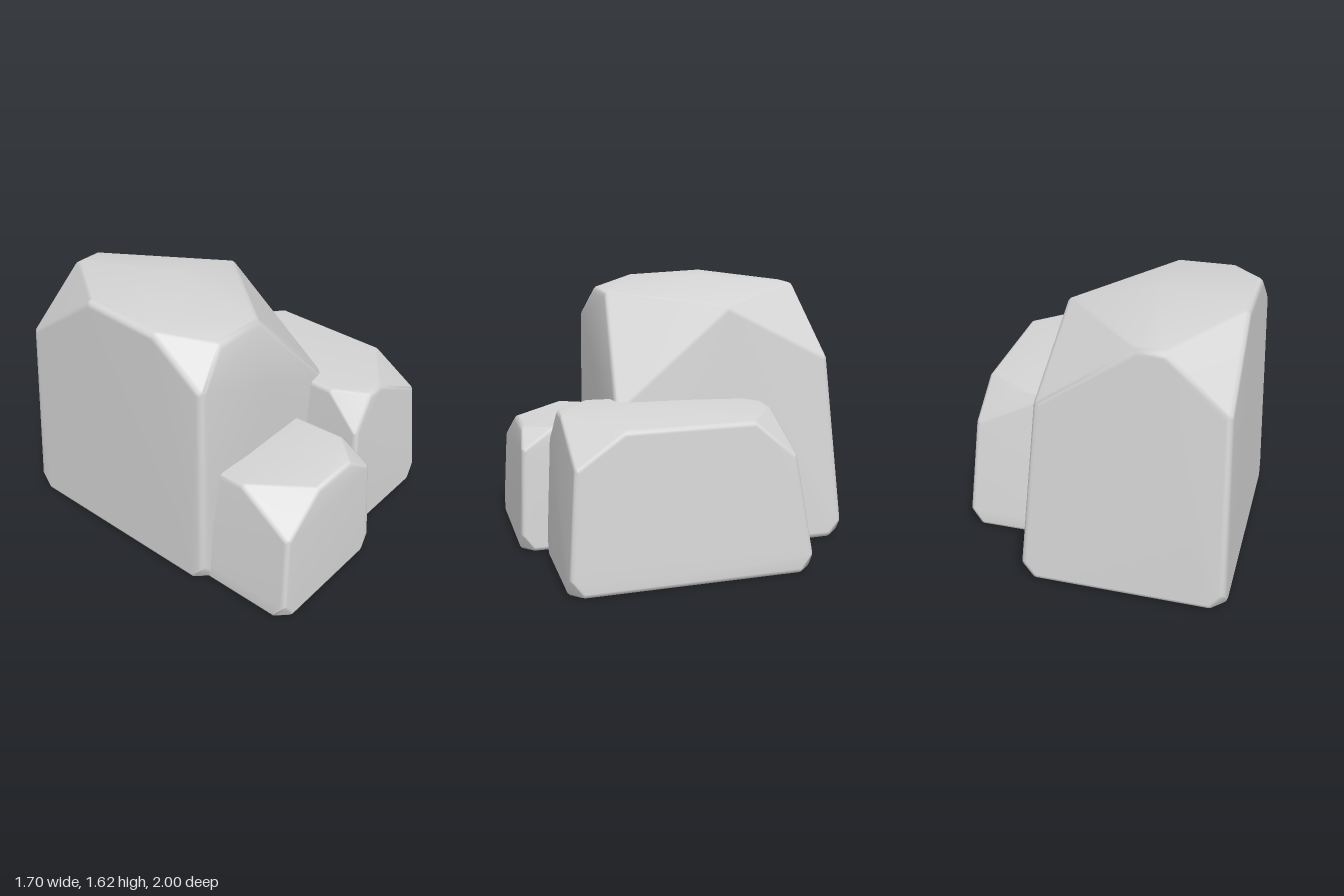
import * as THREE from 'three';
import { mergeVertices } from 'three/addons/utils/BufferGeometryUtils.js';
import { ConvexGeometry } from 'three/addons/geometries/ConvexGeometry.js';

const stone = new THREE.MeshStandardMaterial({ color: 0xd6d6d6, side: THREE.DoubleSide });
stone.name = 'grey stone';

// Drop normals and uvs so that equal positions can be welded
function weld(geometry) {
  geometry.deleteAttribute('normal');
  geometry.deleteAttribute('uv');
  return mergeVertices(geometry, 1e-5);
}

// Directions used to round every corner
function ballDirections() {
  const pos = weld(new THREE.IcosahedronGeometry(1, 1)).attributes.position;
  return Array.from({ length: pos.count }, (_, i) => new THREE.Vector3().fromBufferAttribute(pos, i));
}

// A faceted boulder with rounded edges and an open underside
function makeRock(name, [x0, x1, z0, z1], corners, r) {
  const centre = new THREE.Vector3((x0 + x1) / 2, 0.4, (z0 + z1) / 2);
  const core = corners.map(([x, y, z]) => {
    const p = new THREE.Vector3(x, y, z);
    return p.addScaledVector(p.clone().sub(centre).normalize(), -r * 1.25);
  });
  // Foot corners, each cut off by a small triangle
  const cut = 0.06;
  for (const [x, sx] of [[x0 + r, 1], [x1 - r, -1]])
    for (const [z, sz] of [[z0 + r, 1], [z1 - r, -1]])
      core.push(
        new THREE.Vector3(x + sx * 0.005, 0.11, z + sz * 0.005),
        new THREE.Vector3(x + sx * cut, r, z),
        new THREE.Vector3(x, r, z + sz * cut),
      );

  const ball = ballDirections();
  const points = core.flatMap((p) => ball.map((d) => p.clone().addScaledVector(d, r)));
  const hull = new ConvexGeometry(points);

  // Leave out the flat underside
  const pos = hull.attributes.position;
  const kept = [];
  for (let i = 0; i < pos.count; i += 3) {
    if (Math.max(pos.getY(i), pos.getY(i + 1), pos.getY(i + 2)) < 0.004) continue;
    for (let k = i; k < i + 3; k++) kept.push(pos.getX(k), pos.getY(k), pos.getZ(k));
  }
  const open = new THREE.BufferGeometry();
  open.setAttribute('position', new THREE.Float32BufferAttribute(kept, 3));

  // Area weighted normals keep big facets flat and soften the edges
  const geometry = mergeVertices(open, 1e-5);
  geometry.computeVertexNormals();
  const mesh = new THREE.Mesh(geometry, stone);
  mesh.name = name;
  return mesh;
}

export function createModel() {
  const group = new THREE.Group();
  group.name = 'rockCluster';

  group.add(makeRock('tallRock', [-0.85, 0.37, -1, 0.45], [
    [-0.79, 1.36, 0.42], [-0.6, 1.54, 0.37], [-0.79, 1.59, 0.1],   // front left
    [-0.27, 1.54, 0.37], [0.29, 0.93, 0.45], [0.25, 1.5, -0.25],   // front right
    [-0.3, 1.2, 0.46],                                             // front bulge
    [0.26, 1.17, -0.89], [-0.3, 1.56, -0.88],                      // back right
    [-0.45, 1.56, -0.88], [-0.79, 1.61, -0.4], [-0.8, 1.25, -0.9], // back left
    [-0.27, 1.63, -0.25],                                          // peak
  ], 0.04));

  group.add(makeRock('sideRock', [0.09, 0.85, -0.59, 0.85], [
    [0.14, 0.74, 0.82], [0.155, 0.95, 0.62], [0.28, 0.93, 0.8],    // front left
    [0.4, 0.93, 0.8], [0.79, 0.72, 0.8], [0.78, 0.91, 0.53],       // front right
    [0.78, 0.91, -0.25], [0.79, 0.7, -0.49], [0.52, 0.92, -0.43],  // back right
    [0.35, 0.92, -0.44], [0.17, 0.7, -0.48], [0.18, 0.94, -0.2],   // back left
    [0.45, 0.96, 0.3],                                             // peak
  ], 0.03));

  group.add(makeRock('frontRock', [-0.78, 0.08, 0, 1], [
    [-0.72, 0.56, 0.97], [-0.69, 0.76, 0.62], [-0.42, 0.74, 0.95], // front left
    [-0.1, 0.74, 0.95], [0.04, 0.64, 0.97], [0.03, 0.76, 0.8],     // front right
    [0.03, 0.75, 0.4], [0.02, 0.55, 0.12], [-0.15, 0.73, 0.2],     // back right
    [-0.45, 0.73, 0.2], [-0.68, 0.5, 0.12], [-0.68, 0.74, 0.4],    // back left
  ], 0.03));

  return group;
}
